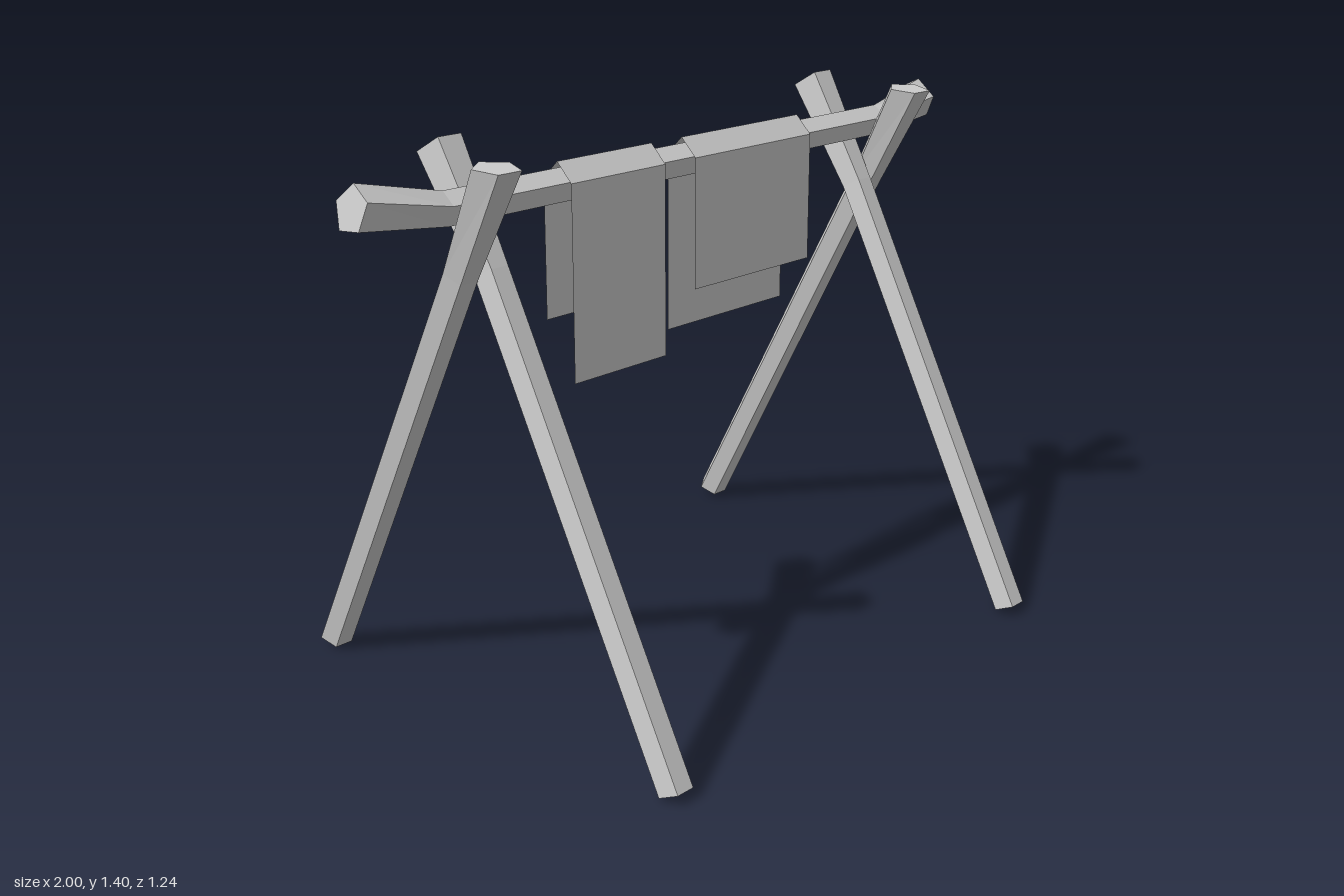
import * as THREE from 'three';

const SIDES = 5;
const material = new THREE.MeshStandardMaterial({ color: 0xcccccc, flatShading: true });
const clothMaterial = new THREE.MeshStandardMaterial({ color: 0xcccccc, flatShading: true, side: THREE.DoubleSide });

// Five-sided pole through rings { c: centre, n: facing along the path, p: direction of the first corner, r }
function pole(name, rings) {
  const corners = rings.map(({ c, n, p, r }) => {
    const normal = new THREE.Vector3(...n).normalize();
    const point = new THREE.Vector3(...p).projectOnPlane(normal).normalize();
    const side = new THREE.Vector3().crossVectors(normal, point);
    return Array.from({ length: SIDES }, (_, i) => {
      const a = (i / SIDES) * Math.PI * 2;
      return new THREE.Vector3(...c)
        .addScaledVector(point, r * Math.cos(a))
        .addScaledVector(side, r * Math.sin(a));
    });
  });
  const pos = [];
  const tri = (...v) => v.forEach((q) => pos.push(q.x, q.y, q.z));
  for (let k = 0; k < corners.length - 1; k++) {
    const a = corners[k], b = corners[k + 1];
    for (let i = 0; i < SIDES; i++) {
      const j = (i + 1) % SIDES;
      tri(a[i], a[j], b[j]);
      tri(a[i], b[j], b[i]);
    }
  }
  // End caps
  const first = corners[0], last = corners[corners.length - 1];
  for (let i = 1; i < SIDES - 1; i++) {
    tri(first[0], first[i + 1], first[i]);
    tri(last[0], last[i], last[i + 1]);
  }
  const geometry = new THREE.BufferGeometry();
  geometry.setAttribute('position', new THREE.Float32BufferAttribute(pos, 3));
  geometry.computeVertexNormals();
  const mesh = new THREE.Mesh(geometry, material);
  mesh.name = name;
  return mesh;
}

// Legs lean across each other and flare above the crossing
const BACKWARD = [0, 0, -1];
function frontLeg(x) {
  return pole('frontLeg', [
    { c: [x, 0.019, 0.587], n: [0, 0.07, -0.028], p: BACKWARD, r: 0.042 },
    { c: [x, 1.107, 0.017], n: [0, 0.88, -0.47], p: BACKWARD, r: 0.042 },
    { c: [x, 1.373, -0.148], n: [0, 0.085, -0.06], p: BACKWARD, r: 0.057 },
  ]);
}
function backLeg(x) {
  return pole('backLeg', [
    { c: [x, 0.023, -0.579], n: [0, 0.07, 0.03], p: BACKWARD, r: 0.042 },
    { c: [x, 1.11, -0.007], n: [0, 0.88, 0.47], p: BACKWARD, r: 0.042 },
    { c: [x, 1.369, 0.128], n: [0, 0.104, 0.01], p: BACKWARD, r: 0.057 },
  ]);
}

// Thin cloth folded over the bar, with its own front and back lengths
function cloth(name, x0, x1, frontY, backY) {
  const profile = [[frontY, 0.037], [1.274, 0.037], [1.32, -0.01], [1.274, -0.057], [backY, -0.057]];
  const pos = [];
  for (let i = 0; i < profile.length - 1; i++) {
    const [ya, za] = profile[i], [yb, zb] = profile[i + 1];
    pos.push(x0, ya, za, x1, ya, za, x1, yb, zb);
    pos.push(x0, ya, za, x1, yb, zb, x0, yb, zb);
  }
  const geometry = new THREE.BufferGeometry();
  geometry.setAttribute('position', new THREE.Float32BufferAttribute(pos, 3));
  geometry.computeVertexNormals();
  const mesh = new THREE.Mesh(geometry, clothMaterial);
  mesh.name = name;
  return mesh;
}

export function createModel() {
  const model = new THREE.Group();
  model.name = 'dryingRack';

  // Crossed leg pairs
  model.add(frontLeg(-0.63), backLeg(-0.7), frontLeg(0.68), backLeg(0.755));

  // Crossbar with upturned, thicker ends
  model.add(pole('crossbar', [
    { c: [-0.985, 1.304, -0.003], n: [1, -0.27, 0], p: [0, 1, -0.1], r: 0.056 },
    { c: [-0.74, 1.263, -0.01], n: [1, -0.08, 0], p: [0, 1, 0], r: 0.042 },
    { c: [0.79, 1.263, -0.01], n: [1, 0.08, 0], p: [0, 1, 0], r: 0.042 },
    { c: [0.985, 1.304, -0.008], n: [1, 0.27, 0], p: [0, 1, 0.18], r: 0.057 },
  ]));

  // Hanging cloths
  model.add(cloth('narrowCloth', -0.4, -0.09, 0.79, 0.93));
  model.add(cloth('wideCloth', 0.015, 0.455, 0.94, 0.815));
  return model;
}
